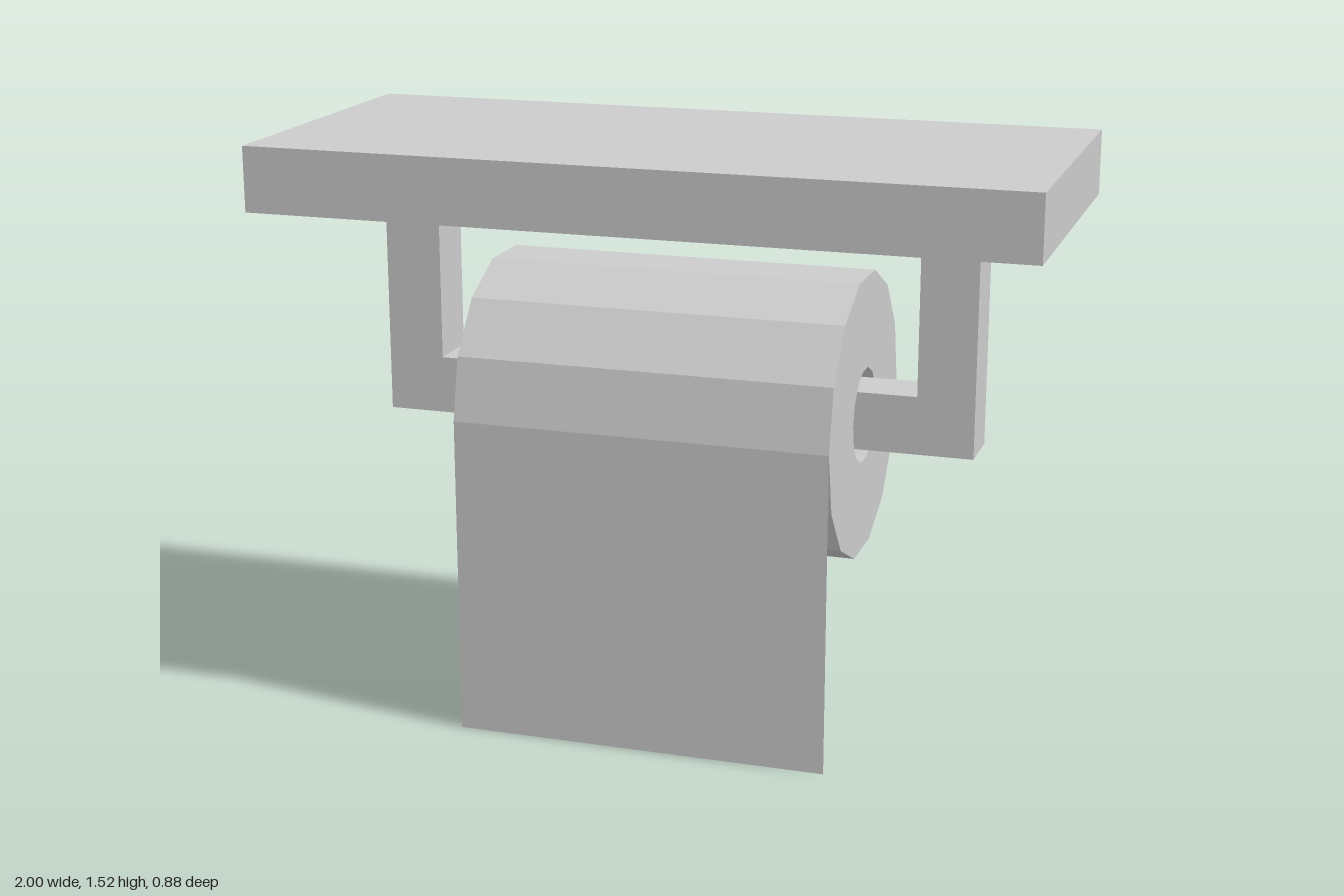
import * as THREE from 'three';

const material = new THREE.MeshStandardMaterial({ color: 0xcccccc, flatShading: true });
const sheetMaterial = new THREE.MeshStandardMaterial({ color: 0xcccccc, flatShading: true, side: THREE.DoubleSide });

const SIDES = 14;
const ROLL = { y: 0.835, z: 0.007, outer: 0.37, inner: 0.123, x0: -0.48, x1: 0.495 };

function polygon(radius) {
  return Array.from({ length: SIDES }, (_, i) => {
    const a = (i / SIDES) * Math.PI * 2;
    return new THREE.Vector2(Math.cos(a) * radius, Math.sin(a) * radius);
  });
}

function extrude(shape, depth) {
  return new THREE.ExtrudeGeometry(shape, { depth, bevelEnabled: false });
}

export function createModel() {
  const group = new THREE.Group();
  const add = (name, geometry, mat = material) => {
    const mesh = new THREE.Mesh(geometry, mat);
    mesh.name = name;
    group.add(mesh);
    return mesh;
  };

  // Shelf on top
  add('shelf', new THREE.BoxGeometry(2, 0.168, 0.884)).position.y = 1.436;

  // U-shaped bracket: two hanging arms joined by the rod through the roll
  const bracket = new THREE.Shape([
    [-0.782, 1.352], [-0.782, 0.765], [0.792, 0.765], [0.792, 1.352],
    [0.645, 1.352], [0.645, 0.915], [-0.633, 0.915], [-0.633, 1.352],
  ].map(([x, y]) => new THREE.Vector2(x, y)));
  add('bracket', extrude(bracket, 0.145)).position.z = -0.065;

  // Faceted paper roll with a hole along x
  const ring = new THREE.Shape(polygon(ROLL.outer));
  ring.holes.push(new THREE.Path(polygon(ROLL.inner)));
  const width = ROLL.x1 - ROLL.x0;
  const roll = add('paperRoll', extrude(ring, width).rotateY(Math.PI / 2));
  roll.position.set(ROLL.x0, ROLL.y, ROLL.z);

  // Loose sheet hanging from the front edge of the roll
  const sheet = add('hangingSheet', new THREE.PlaneGeometry(width, ROLL.y), sheetMaterial);
  sheet.position.set((ROLL.x0 + ROLL.x1) / 2, ROLL.y / 2, ROLL.z + ROLL.outer);

  return group;
}
